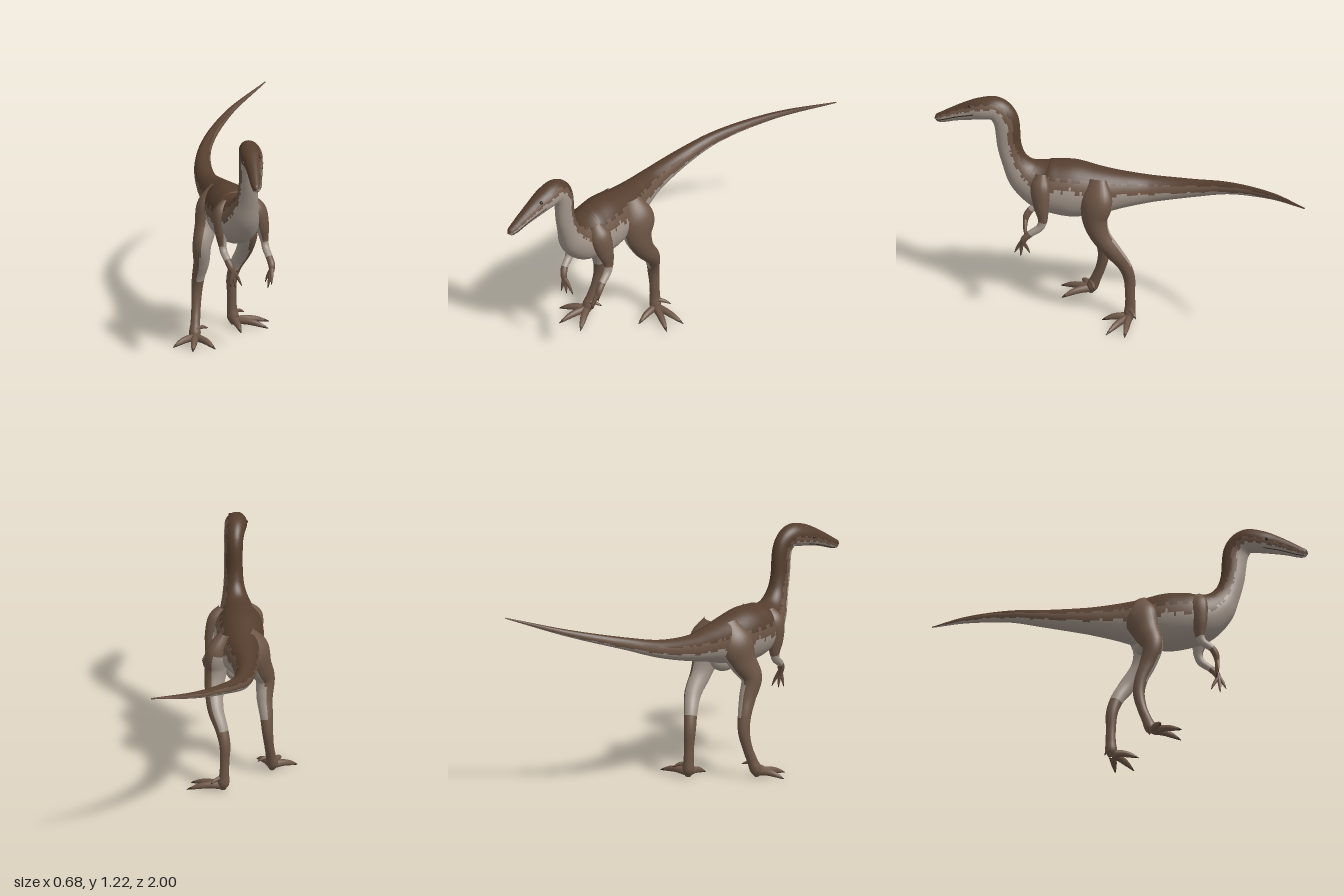
import * as THREE from 'three';

const paint = (name, color) => Object.assign(new THREE.MeshStandardMaterial({ color }), { name });
const V = (x, y, z) => new THREE.Vector3(x, y, z);
const DARK = 0, MID = 1, LIGHT = 2, CLAW = 3;

// Sweeps an ellipse through sections [x, y, z, halfWidth, halfHeight].
// pick({u, a, n, p}) returns the colour index of each face; a is 0 on the back, PI below.
function skin(name, mats, sections, pick, sides, steps) {
  const last = sections.length - 1;
  const path = new THREE.CatmullRomCurve3(sections.map(s => V(s[0], s[1], s[2])));
  const size = new THREE.CatmullRomCurve3(sections.map(s => V(s[3], s[4], 0)), false, 'catmullrom', 0.5);
  const rows = last * steps, frames = [], pos = [];
  let side;
  for (let i = 0; i <= rows; i++) {
    const t = i / rows, c = path.getPoint(t), r = size.getPoint(t), T = path.getTangent(t);
    if (!side) side = Math.abs(T.y) > 0.7 ? V(1, 0, 0) : V(0, 1, 0).cross(T);
    side = side.clone().addScaledVector(T, -side.dot(T)).normalize();
    frames.push({ c, r, side, up: T.clone().cross(side) });
  }
  const surface = (u, a) => {
    const f = frames[Math.round(u * steps)];
    return f.c.clone().addScaledVector(f.up, Math.cos(a) * Math.max(f.r.y, 0.001))
      .addScaledVector(f.side, Math.sin(a) * Math.max(f.r.x, 0.001));
  };
  const byColour = mats.map(() => []);
  for (let i = 0; i <= rows; i++)
    for (let k = 0; k < sides; k++) pos.push(...surface(i / steps, k / sides * 2 * Math.PI).toArray());
  for (let i = 0; i < rows; i++)
    for (let k = 0; k < sides; k++) {
      const k2 = (k + 1) % sides, p = i * sides + k, q = i * sides + k2;
      const u = (i + 0.5) / steps, ang = (k + 0.5) / sides * 2 * Math.PI, f = frames[i];
      const n = f.up.clone().multiplyScalar(Math.cos(ang)).addScaledVector(f.side, Math.sin(ang));
      const a = Math.min(ang, 2 * Math.PI - ang);
      byColour[pick({ u, a, n, p: f.c })].push(p, p + sides, q, q, p + sides, q + sides);
    }
  const g = new THREE.BufferGeometry();
  g.setAttribute('position', new THREE.Float32BufferAttribute(pos, 3));
  g.setIndex(byColour.flat());
  let start = 0;
  byColour.forEach((list, m) => { if (list.length) g.addGroup(start, list.length, m); start += list.length; });
  g.computeVertexNormals();
  const mesh = new THREE.Mesh(g, mats);
  mesh.name = name;
  mesh.userData.surface = surface;
  return mesh;
}

// A tapering toe or finger with a dark claw at its end
function digit(name, mats, base, tip, r, arch) {
  const rings = [1, 0.95, 0.85, 0.75, 0.5, 0.08].map((s, i) => {
    const t = i / 5, p = V(...base).lerp(V(...tip), t);
    return [p.x, p.y + arch * Math.sin(t * Math.PI), p.z, r * s, r * s];
  });
  return skin(name, mats, rings, ({ u }) => (u > 4.2 ? CLAW : MID), 10, 3);
}

// Half widths and half depths shared by both legs and by both arms
const legGirth = [[0.03, 0.05], [0.06, 0.092], [0.056, 0.074], [0.048, 0.056], [0.041, 0.044], [0.033, 0.035],
  [0.028, 0.031], [0.024, 0.026], [0.025, 0.027], [0.03, 0.03], [0.015, 0.015]];
const armGirth = [[0.02, 0.03], [0.04, 0.055], [0.034, 0.045], [0.021, 0.026], [0.019, 0.021], [0.018, 0.018],
  [0.018, 0.017], [0.012, 0.012]];
const limb = (spine, girth) => spine.map((p, i) => [...p, ...girth[i]]);
const outward = s => V(0.94 * s, 0, -0.35 * s);

// Leg: brown outside and below, pale on the inside, with three toes and a spur
function leg(model, mats, name, s, spine, toes, spur) {
  const out = outward(s), [x, , z] = spine[spine.length - 1];
  model.add(skin(name + 'Leg', mats, limb(spine, legGirth), ({ n, p }) =>
    p.y < 0.33 || p.y > 0.73 || n.dot(out) > (p.y > 0.5 ? 0.1 : 0.3) ? MID : LIGHT, 26, 7));
  toes.forEach((tip, i) => model.add(digit(name + 'Toe' + (i + 1), mats, [x, 0.035, z], tip, 0.021, 0.012)));
  model.add(digit(name + 'Spur', mats, [x, 0.08, z], spur, 0.012, 0.008));
}

// Arm: brown shoulder and hand, pale elbow, with three fingers
function arm(model, mats, name, s, spine, fingers) {
  const out = outward(s), [x, y, z] = spine[spine.length - 1];
  model.add(skin(name + 'Arm', mats, limb(spine, armGirth), ({ u, n }) =>
    u > 5 || u < 1 || (u < 3.2 && n.dot(out) > -0.3) ? MID : LIGHT, 18, 6));
  fingers.forEach((tip, i) => model.add(digit(name + 'Finger' + (i + 1), mats, [x, y + 0.02, z], tip, 0.011, 0.006)));
}

export function createModel() {
  const model = new THREE.Group();
  const mats = [paint('darkBack', 0x553e2e), paint('brownHide', 0x6d5646),
    paint('paleBelly', 0xa3968b), paint('darkClaw', 0x3a2c24)];

  // Tail, torso, neck and head in one sweep
  const tail = [
    [-0.17, 0.985, -1, 0.003, 0.003], [-0.28, 0.905, -0.7, 0.017, 0.018], [-0.315, 0.83, -0.4, 0.029, 0.032],
    [-0.285, 0.775, -0.2, 0.043, 0.047], [-0.205, 0.74, 0, 0.06, 0.07]];
  const torso = [
    [-0.13, 0.73, 0.12, 0.082, 0.095], [-0.06, 0.722, 0.23, 0.105, 0.125], [0, 0.72, 0.34, 0.125, 0.15],
    [0.05, 0.725, 0.43, 0.125, 0.145], [0.09, 0.74, 0.5, 0.11, 0.13]];
  const neck = [
    [0.135, 0.79, 0.565, 0.08, 0.097], [0.165, 0.865, 0.605, 0.056, 0.068],
    [0.18, 0.95, 0.628, 0.047, 0.062], [0.19, 1.115, 0.65, 0.047, 0.066]];
  const head = [
    [0.205, 1.16, 0.695, 0.054, 0.063], [0.235, 1.152, 0.765, 0.057, 0.058], [0.262, 1.13, 0.83, 0.044, 0.049],
    [0.288, 1.1, 0.9, 0.034, 0.037], [0.31, 1.07, 0.96, 0.026, 0.028], [0.32, 1.06, 0.988, 0.017, 0.02],
    [0.325, 1.056, 1, 0.002, 0.002]];
  // The pale area climbs at the ribs and drops along the tail
  const body = skin('body', mats, [...tail, ...torso, ...neck, ...head], ({ u, a }) => {
    const edge = a + 0.07 * Math.sin(u * 9) + 0.05 * Math.sin(u * 23);
    const brownEnd = 1.65 + Math.max(0, 0.5 - 0.1 * u) - 0.22 * Math.exp(-((u - 7.4) ** 2));
    return edge < (u > 12 ? 1.22 : 1.08) ? DARK : edge < brownEnd ? MID : LIGHT;
  }, 44, 10);
  model.add(body);

  // Eyes and mouth line on both sides of the head
  for (const s of [-1, 1]) {
    const side = s > 0 ? 'left' : 'right';
    const eye = new THREE.Mesh(new THREE.SphereGeometry(0.009, 14, 10), mats[CLAW]);
    eye.name = side + 'Eye';
    eye.position.copy(body.userData.surface(15.6, s * 1.15));
    const lip = [15.5, 16.2, 17, 17.8, 18.5, 19].map(u => body.userData.surface(u, s * 2.05));
    const mouth = new THREE.Mesh(new THREE.TubeGeometry(new THREE.CatmullRomCurve3(lip), 24, 0.003, 6), mats[CLAW]);
    mouth.name = side + 'MouthLine';
    model.add(eye, mouth);
  }

  // Underside of the pelvis
  const pelvis = new THREE.Mesh(new THREE.SphereGeometry(1, 24, 16), mats[LIGHT]);
  pelvis.name = 'pelvis';
  pelvis.scale.set(0.05, 0.055, 0.07);
  pelvis.position.set(-0.035, 0.605, 0.24);
  model.add(pelvis);

  // Legs in mid stride, from hip to sole
  leg(model, mats, 'left', 1, [
    [0, 0.82, 0.2], [0.035, 0.72, 0.18], [0.052, 0.62, 0.18], [0.048, 0.53, 0.15], [0.01, 0.43, 0.09],
    [-0.04, 0.34, 0.06], [-0.065, 0.26, 0.047], [-0.066, 0.17, 0.042], [-0.065, 0.1, 0.04], [-0.06, 0.05, 0.04],
    [-0.055, 0.015, 0.04]],
  [[0.13, 0.008, 0.05], [0.105, 0.015, -0.05], [0.015, 0.008, 0.16]], [-0.02, 0.06, -0.03]);
  leg(model, mats, 'right', -1, [
    [-0.09, 0.82, 0.24], [-0.125, 0.72, 0.27], [-0.132, 0.62, 0.31], [-0.14, 0.53, 0.355], [-0.15, 0.43, 0.33],
    [-0.173, 0.34, 0.305], [-0.183, 0.26, 0.298], [-0.182, 0.17, 0.318], [-0.178, 0.1, 0.345], [-0.175, 0.05, 0.365],
    [-0.17, 0.015, 0.375]],
  [[-0.257, 0.008, 0.49], [-0.14, 0.008, 0.537], [-0.04, 0.008, 0.46]], [-0.12, 0.07, 0.31]);

  // Arms, from shoulder to palm
  arm(model, mats, 'left', 1, [
    [0.15, 0.83, 0.45], [0.178, 0.77, 0.435], [0.196, 0.68, 0.415], [0.203, 0.6, 0.4], [0.213, 0.56, 0.41],
    [0.243, 0.522, 0.45], [0.262, 0.49, 0.475], [0.265, 0.455, 0.485]],
  [[0.25, 0.375, 0.505], [0.275, 0.4, 0.525], [0.225, 0.395, 0.465]]);
  arm(model, mats, 'right', -1, [
    [0.035, 0.83, 0.51], [0.012, 0.77, 0.53], [0.012, 0.68, 0.54], [0.018, 0.6, 0.54], [0.028, 0.565, 0.55],
    [0.058, 0.532, 0.585], [0.078, 0.5, 0.597], [0.088, 0.465, 0.597]],
  [[0.1, 0.39, 0.59], [0.128, 0.395, 0.565], [0.08, 0.4, 0.612]]);
  return model;
}
